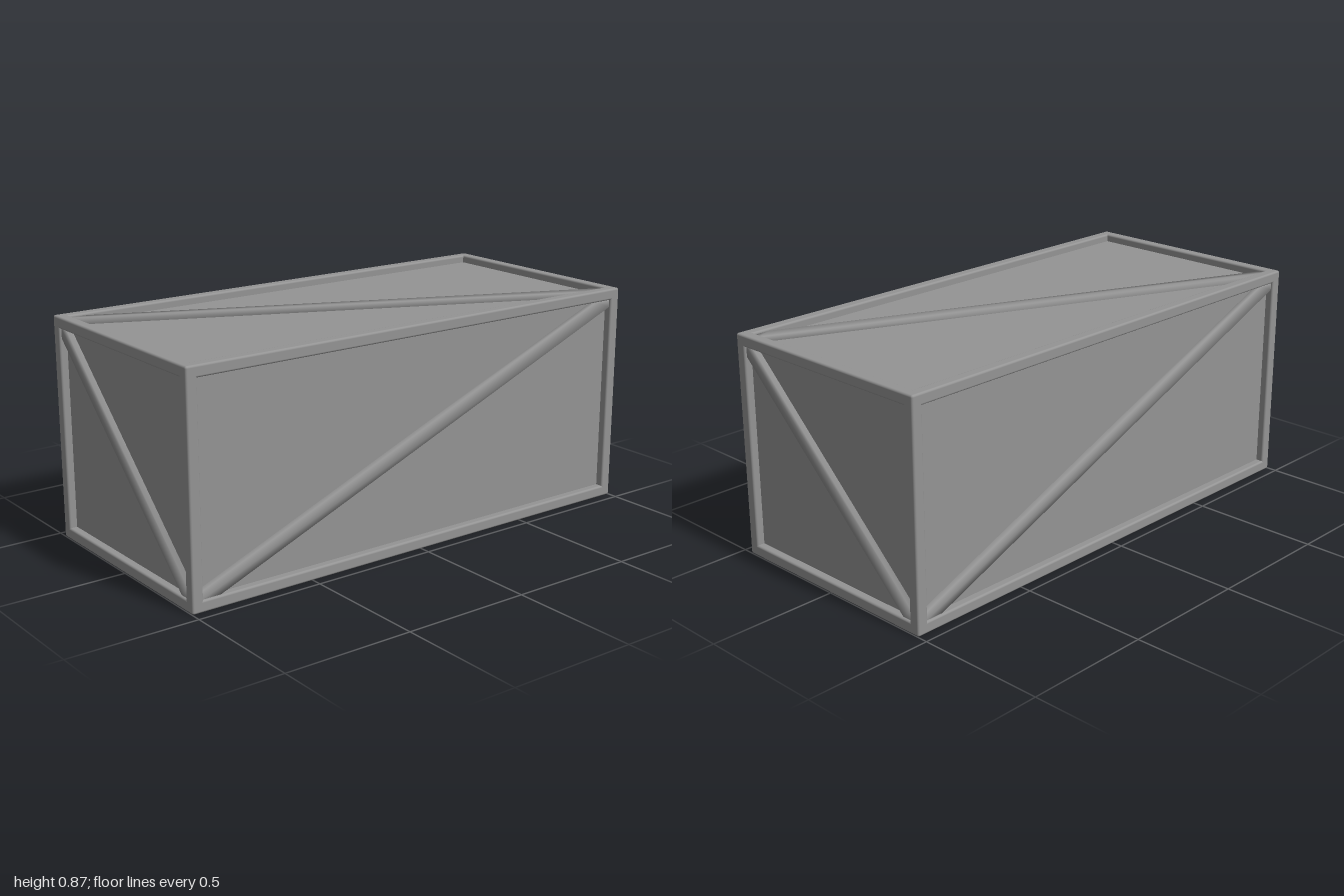
import * as THREE from 'three';
import { RoundedBoxGeometry } from 'three/addons/geometries/RoundedBoxGeometry.js';
import { mergeVertices } from 'three/addons/utils/BufferGeometryUtils.js';

const W = 0.924, H = 0.865, L = 2;  // outer size in x, y, z
const BAR = 0.044;                  // frame bar thickness
const RECESS = 0.03;                // panel depth below the frame
const BRACE_W = 0.056, BRACE_H = 0.021;

const material = new THREE.MeshStandardMaterial({ color: 0x949494 });

function addMesh(parent, name, geometry) {
  const mesh = new THREE.Mesh(geometry, material);
  mesh.name = name;
  parent.add(mesh);
  return mesh;
}

// Diagonal beam from corner to corner of a w x h opening, trimmed to its edges.
// Its lower half is sunk in the panel; shared normals give it a soft, rounded look.
function braceGeometry(w, h, slope) {
  const a = w / 2, b = h / 2, d = Math.hypot(w, h);
  const p = (BRACE_W / 2) * d / h, q = (BRACE_W / 2) * d / w;
  const outline = [[-a, -b], [-a + p, -b], [a, b - q], [a, b], [a - p, b], [-a, -b + q]];
  const shape = new THREE.Shape(outline.map(([x, y]) => new THREE.Vector2(x * slope, y)));
  const solid = new THREE.ExtrudeGeometry(shape, { depth: 2 * BRACE_H, bevelEnabled: false });
  solid.translate(0, 0, -BRACE_H);
  solid.deleteAttribute('normal');
  solid.deleteAttribute('uv');
  const smooth = mergeVertices(solid);
  smooth.computeVertexNormals();
  return smooth;
}

export function createModel() {
  const crate = new THREE.Group();
  crate.name = 'crate';
  const body = new THREE.Group();
  body.name = 'body';
  body.position.y = H / 2;
  crate.add(body);

  // Recessed panels as one inner box
  addMesh(body, 'panels', new THREE.BoxGeometry(W - 2 * RECESS, H - 2 * RECESS, L - 2 * RECESS));

  // Twelve softly rounded edge bars, four along each axis
  const frame = new THREE.Group();
  frame.name = 'frame';
  body.add(frame);
  const size = [W, H, L];
  for (let axis = 0; axis < 3; axis++) {
    const dims = [BAR, BAR, BAR];
    dims[axis] = size[axis];
    const bar = new RoundedBoxGeometry(...dims, 3, 0.008);
    const u = (axis + 1) % 3, v = (axis + 2) % 3;
    for (const su of [-1, 1]) for (const sv of [-1, 1]) {
      const pos = [0, 0, 0];
      pos[u] = su * (size[u] - BAR) / 2;
      pos[v] = sv * (size[v] - BAR) / 2;
      addMesh(frame, 'frameBar', bar).position.set(...pos);
    }
  }

  // One diagonal brace per face: name, width, height, depth, turn x, turn y, slope
  const faces = [
    ['frontBrace', W, H, L, 0, 0, -1],
    ['backBrace', W, H, L, 0, Math.PI, -1],
    ['leftBrace', L, H, W, 0, Math.PI / 2, 1],
    ['rightBrace', L, H, W, 0, -Math.PI / 2, 1],
    ['topBrace', W, L, H, -Math.PI / 2, 0, 1],
    ['bottomBrace', W, L, H, Math.PI / 2, 0, 1],
  ];
  for (const [name, w, h, depth, rx, ry, slope] of faces) {
    const brace = addMesh(body, name, braceGeometry(w - 2 * BAR, h - 2 * BAR, slope));
    brace.rotation.set(rx, ry, 0);
    brace.translateZ(depth / 2 - RECESS);
  }
  return crate;
}
